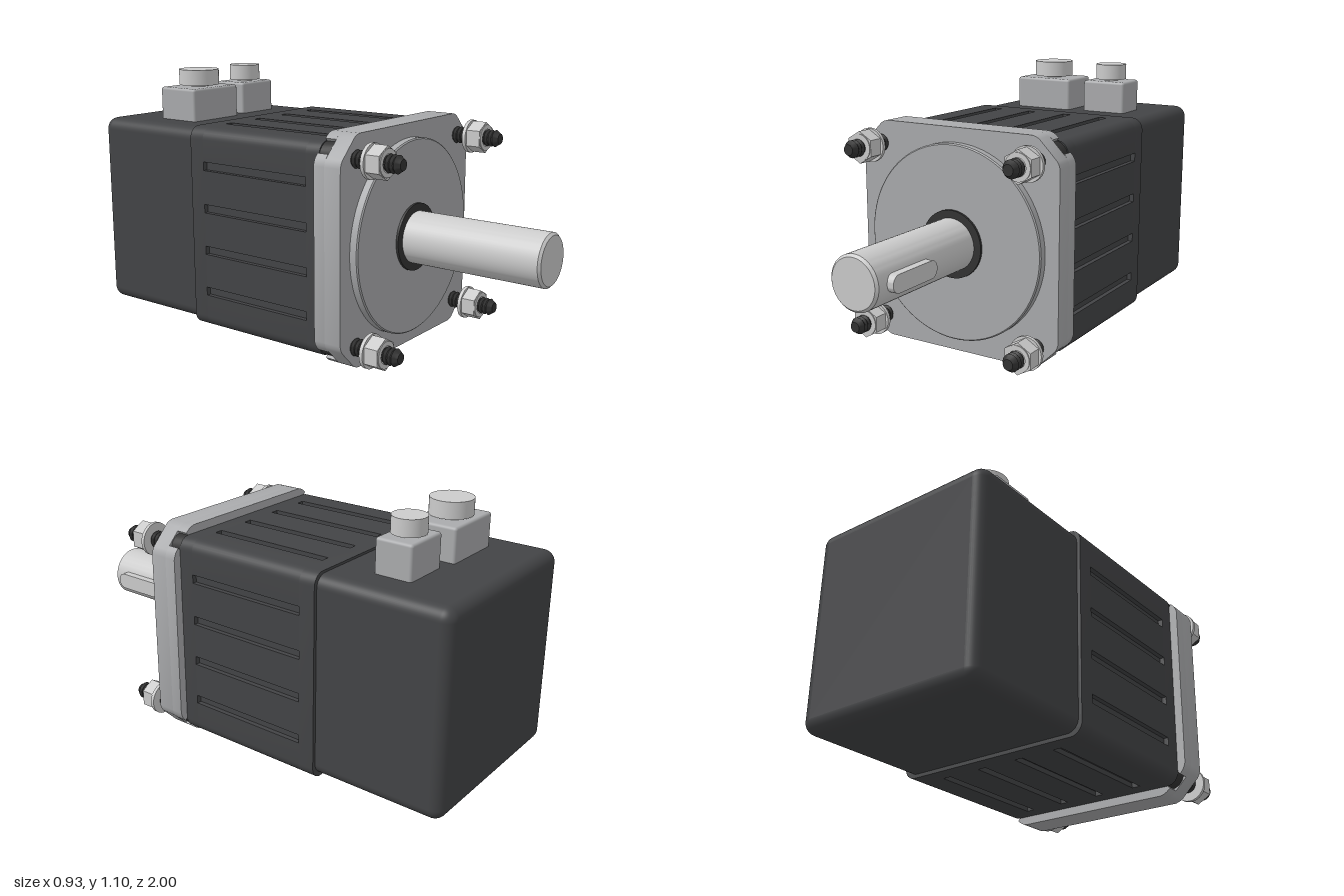
import * as THREE from 'three';
import { toCreasedNormals } from 'three/addons/utils/BufferGeometryUtils.js';
import { RoundedBoxGeometry } from 'three/addons/geometries/RoundedBoxGeometry.js';

const CY = 0.465; // height of the shaft axis
const steel = new THREE.MeshStandardMaterial({ color: 0xcccccc });
const castGrey = new THREE.MeshStandardMaterial({ color: 0xaaabad });
const dark = new THREE.MeshStandardMaterial({ color: 0x434446 });
const black = new THREE.MeshStandardMaterial({ color: 0x333333 });

function add(parent, name, geometry, material, x = 0, y = 0, z = 0) {
  const mesh = new THREE.Mesh(geometry, material);
  mesh.name = name;
  mesh.position.set(x, y, z);
  parent.add(mesh);
  return mesh;
}

// Extrudes an outline along z between two depths
function slab(points, z0, z1, holes = []) {
  const shape = new THREE.Shape(points);
  shape.holes.push(...holes);
  const g = new THREE.ExtrudeGeometry(shape, { depth: z1 - z0, bevelEnabled: false, curveSegments: 32 });
  g.translate(0, 0, z0);
  return toCreasedNormals(g, 0.6);
}

// Turned part along z; profile rows are [radius, z] from back to front
function turned(profile, segments = 48) {
  const g = new THREE.LatheGeometry(profile.map(([r, z]) => new THREE.Vector2(r, z)), segments);
  g.rotateX(Math.PI / 2);
  return toCreasedNormals(g, 0.5);
}

// Repeats one side's points around four quarter turns
function fourSides(side) {
  const out = [];
  for (let k = 0; k < 4; k++) {
    const c = Math.round(Math.cos(k * Math.PI / 2)), s = Math.round(Math.sin(k * Math.PI / 2));
    for (const [x, y] of side) out.push(new THREE.Vector2(c * x - s * y, s * x + c * y));
  }
  return out;
}

// Rounded square, optionally with grooves in every side
function housingOutline(h, r, grooves) {
  const side = [[-h + r, -h]];
  const w = 0.018, d = 0.02;
  for (const c of grooves) side.push([c - w, -h], [c - w, -h + d], [c + w, -h + d], [c + w, -h]);
  for (let i = 0; i < 8; i++) {
    const a = -Math.PI / 2 + (i / 8) * Math.PI / 2;
    side.push([h - r + r * Math.cos(a), -h + r + r * Math.sin(a)]);
  }
  return fourSides(side);
}

// Square plate with softened corner chamfers, optionally slotted at each corner
function flangeOutline(slotted) {
  const h = 0.465, m = 0.415, s = 0.025, d = 0.075;
  const side = [[-0.345, -h], [0.345, -h], [0.362, -0.46], [0.375, -0.453]];
  if (slotted) side.push([m - s, -m - s], [m - s - d, -m - s + d], [m + s - d, -m + s + d], [m + s, -m + s]);
  side.push([0.453, -0.375], [0.46, -0.362]);
  return fourSides(side);
}

// Threaded profile with a chamfered tip
function studProfile(z0, z1) {
  const rows = [[0, z0], [0.029, z0]];
  const n = 12, end = z1 - 0.012, p = (end - z0) / n;
  for (let i = 0; i < n; i++) rows.push([0.036, z0 + (i + 0.5) * p], [0.029, z0 + (i + 1) * p]);
  rows.push([0.022, z1], [0, z1]);
  return rows;
}

// Stud with its washer, hex nut and rear head
function fastener() {
  const g = new THREE.Group();
  g.name = 'mountingBolt';
  add(g, 'threadedStud', turned(studProfile(0.34, 0.575), 24), black);
  add(g, 'washer', turned([[0, 0.43], [0.07, 0.43], [0.07, 0.445], [0, 0.445]], 32), steel);
  const nut = new THREE.CylinderGeometry(0.066, 0.066, 0.062, 6);
  nut.rotateX(Math.PI / 2).rotateZ(Math.PI / 6);
  // Turn so that two corners point sideways
  nut.rotateZ(Math.PI / 6 * (Math.abs(nut.attributes.position.getX(0)) > 0.06 ? 0 : 1));
  add(g, 'hexNut', toCreasedNormals(nut, 0.4), steel, 0, 0, 0.475);
  add(g, 'nutChamfer', turned([[0.055, 0.5], [0.055, 0.51], [0.036, 0.51]], 32), steel);
  add(g, 'boltHead', turned([[0, 0.225], [0.058, 0.225], [0.058, 0.284], [0, 0.284]], 24), black);
  return g;
}

// Cable connector: square base with a round plug
function connector(x, width, depth, radius) {
  const g = new THREE.Group();
  g.name = 'connector';
  g.position.set(x, 0, -0.665);
  add(g, 'connectorBase', new RoundedBoxGeometry(width, 0.165, depth, 3, 0.012), castGrey, 0, 0.9425, 0);
  const neck = new THREE.CylinderGeometry(radius * 0.5, radius * 0.5, 0.02, 32);
  add(g, 'connectorNeck', neck, steel, 0, 1.025, 0);
  const plug = new THREE.CylinderGeometry(radius, radius, 0.068, 48);
  add(g, 'connectorPlug', plug, steel, 0, 1.066, 0);
  return g;
}

export function createModel() {
  const model = new THREE.Group();
  model.name = 'servoMotor';

  // Finned housing: plain ends with a grooved middle
  const plain = housingOutline(0.43, 0.05, []);
  const grooved = housingOutline(0.43, 0.05, [-0.27, -0.09, 0.09, 0.27]);
  add(model, 'housingRear', slab(plain, -0.44, -0.37), dark, 0, CY);
  add(model, 'housingGrooved', slab(grooved, -0.37, 0.17), dark, 0, CY);
  add(model, 'housingFront', slab(plain, 0.17, 0.235), dark, 0, CY);

  // Rear cover
  add(model, 'rearCover', new RoundedBoxGeometry(0.83, 0.835, 0.61, 6, 0.05), dark, 0, 0.4675, -0.695);

  // Mounting flange and locating disc
  add(model, 'flangeBack', slab(flangeOutline(true), 0.235, 0.285), castGrey, 0, CY);
  add(model, 'flangeFront', slab(flangeOutline(false), 0.285, 0.36), castGrey, 0, CY);
  add(model, 'locatingDisc', turned([[0.405, 0.35], [0.405, 0.39], [0.4, 0.395], [0, 0.395]], 96), castGrey, 0, CY);
  add(model, 'shaftSeal', turned([[0.14, 0.39], [0.14, 0.405], [0.1, 0.405]], 64), black, 0, CY);

  // Shaft with key
  add(model, 'shaft', turned([[0.108, 0.38], [0.108, 0.99], [0.098, 1], [0, 1]], 64), steel, 0, CY);
  const keyShape = new THREE.Shape();
  keyShape.absarc(0.095, 0, 0.035, -Math.PI / 2, Math.PI / 2);
  keyShape.absarc(-0.095, 0, 0.035, Math.PI / 2, Math.PI * 1.5);
  const key = new THREE.ExtrudeGeometry(keyShape, { depth: 0.075, bevelEnabled: false });
  key.rotateY(Math.PI / 2);
  add(model, 'shaftKey', toCreasedNormals(key, 0.5), steel, 0.06, CY, 0.815);

  // Four corner bolts
  for (const sx of [-1, 1]) for (const sy of [-1, 1]) {
    const bolt = fastener();
    bolt.position.set(sx * 0.371, CY + sy * 0.371, 0);
    model.add(bolt);
  }

  // Power and signal connectors
  model.add(connector(-0.14, 0.275, 0.205, 0.0875));
  model.add(connector(0.1625, 0.205, 0.16, 0.0685));
  return model;
}
